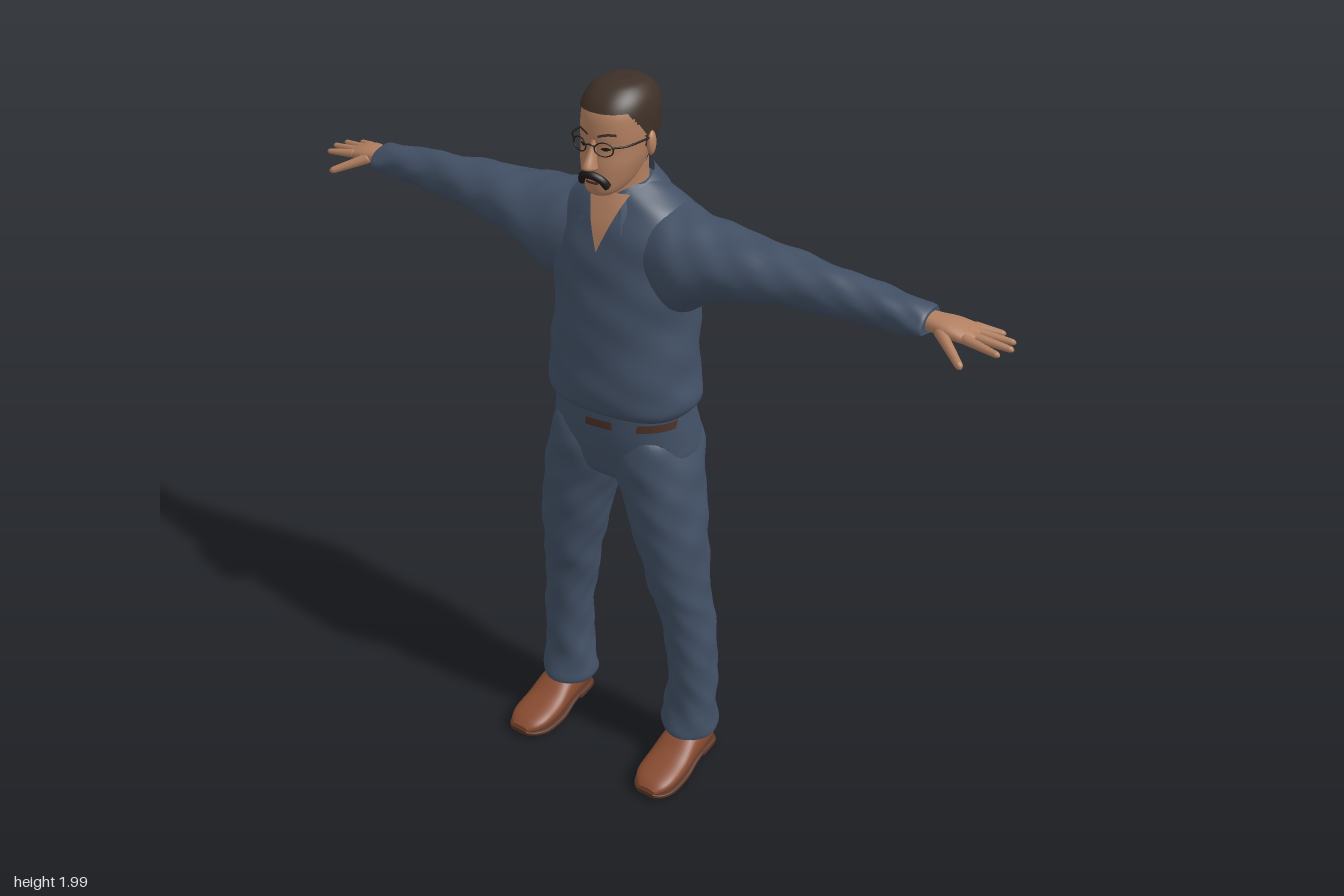
import * as THREE from 'three';

const mat = (name, color, side = THREE.FrontSide) => {
  const m = new THREE.MeshStandardMaterial({ color, side });
  m.name = name;
  return m;
};

// Smoothly subdivides a list of cross-section rows.
function resample(rows, per = 5) {
  const out = [], last = rows.length - 1;
  for (let i = 0; i < last; i++) {
    const [a, b, c, d] = [i - 1, i, i + 1, i + 2].map(k => rows[Math.min(last, Math.max(0, k))]);
    for (let k = 0; k < per; k++) {
      const t = k / per;
      out.push(b.map((_, q) => b[q] + 0.5 * t * (c[q] - a[q] +
        t * (2 * a[q] - 5 * b[q] + 4 * c[q] - d[q] + t * (3 * (b[q] - c[q]) + d[q] - a[q])))));
    }
  }
  out.push(rows[last]);
  return out;
}

const pw = (v, n) => Math.sign(v) * Math.abs(v) ** (2 / n);

// Skins superelliptic rings. Row = [position on axis, uMin, uMax, vMin, vMax].
function loft(rows, { axis = 'y', n = 2, seg = 36, fold = 0, grow = 0, keep = null } = {}) {
  const place = { y: (p, u, v) => [u, p, v], x: (p, u, v) => [p, u, v], z: (p, u, v) => [u, v, p] }[axis];
  const s = resample(rows), pos = [], idx = [];
  const tri = (a, b, c) => {
    if (keep) {
      const mid = [0, 1, 2].map(k => (pos[a * 3 + k] + pos[b * 3 + k] + pos[c * 3 + k]) / 3);
      if (!keep(...mid)) return;
    }
    if (axis === 'y') idx.push(a, b, c); else idx.push(a, c, b);
  };
  const ring = ([p, u0, u1, v0, v1]) => {
    for (let j = 0; j < seg; j++) {
      const t = j / seg * Math.PI * 2;
      const f = grow + fold * (Math.sin(3 * t + p * 34) + 0.6 * Math.sin(5 * t - p * 57)) * 0.6;
      pos.push(...place(p + grow, (u0 + u1) / 2 + ((u1 - u0) / 2 + f) * pw(Math.cos(t), n),
        (v0 + v1) / 2 + ((v1 - v0) / 2 + f) * pw(Math.sin(t), n)));
    }
  };
  s.forEach(ring);
  for (let i = 0; i < s.length - 1; i++) for (let j = 0; j < seg; j++) {
    const a = i * seg + j, b = i * seg + (j + 1) % seg;
    tri(a, a + seg, b + seg);
    tri(a, b + seg, b);
  }
  // end caps
  [s[0], s[s.length - 1]].forEach((r, e) => {
    const base = pos.length / 3;
    ring(r);
    pos.push(...place(r[0] + grow, (r[1] + r[2]) / 2, (r[3] + r[4]) / 2));
    for (let j = 0; j < seg; j++) {
      const a = base + j, b = base + (j + 1) % seg;
      if (e) tri(base + seg, b, a); else tri(base + seg, a, b);
    }
  });
  return build(pos, idx);
}

function build(pos, idx) {
  const g = new THREE.BufferGeometry();
  g.setAttribute('position', new THREE.Float32BufferAttribute(pos, 3));
  g.setIndex(idx);
  g.computeVertexNormals();
  return g;
}

// Grid surface from f(u, v), both 0..1.
function sheet(f, nu = 12, nv = 8) {
  const pos = [], idx = [], w = nu + 1;
  for (let j = 0; j <= nv; j++) for (let i = 0; i <= nu; i++) pos.push(...f(i / nu, j / nv));
  for (let j = 0; j < nv; j++) for (let i = 0; i < nu; i++) {
    const a = j * w + i;
    idx.push(a, a + 1, a + w + 1, a, a + w + 1, a + w);
  }
  return build(pos, idx);
}

// Thin patch draped over the front of an upright loft.
function patch(rows, n, outline, lift) {
  const s = resample(rows);
  return sheet((u, v) => {
    const [x, y] = outline(u, v);
    let i = 0;
    while (i < s.length - 2 && s[i + 1][0] < y) i++;
    const t = (y - s[i][0]) / (s[i + 1][0] - s[i][0]);
    const [, x0, x1, z0, z1] = s[i].map((q, k) => q + (s[i + 1][k] - q) * t);
    const d = Math.min(1, Math.abs((x - (x0 + x1) / 2) / ((x1 - x0) / 2)));
    return [x, y, (z0 + z1) / 2 + (z1 - z0) / 2 * (1 - d ** n) ** (1 / n) + lift];
  });
}

function mirrored(g) {
  const m = g.clone().scale(-1, 1, 1), ix = m.index.array;
  for (let i = 0; i < ix.length; i += 3) [ix[i], ix[i + 1]] = [ix[i + 1], ix[i]];
  return m;
}

const sym = rows => rows.map(([y, w, z0, z1]) => [y, -w, w, z0, z1]);
const V = (x, y, z) => new THREE.Vector3(x, y, z);
const tube = (pts, r, n = 20) => new THREE.TubeGeometry(new THREE.CatmullRomCurve3(pts.map(p => V(...p))), n, r, 8);

function finger(a, b, r) {
  const d = b.clone().sub(a), g = new THREE.CapsuleGeometry(r, d.length() - r, 5, 10);
  const p = g.attributes.position;
  for (let i = 0; i < p.count; i++) {
    const k = 0.85 - p.getY(i) / d.length() * 0.4;
    p.setX(i, p.getX(i) * k).setZ(i, p.getZ(i) * k);
  }
  g.applyQuaternion(new THREE.Quaternion().setFromUnitVectors(V(0, 1, 0), d.clone().normalize()));
  return g.translate(...a.clone().add(b).multiplyScalar(0.5).toArray());
}

export function createModel() {
  const root = new THREE.Group();
  const cloth = mat('navy cloth', 0x425065, THREE.DoubleSide), skin = mat('skin', 0xb27f60, THREE.DoubleSide);
  const hair = mat('dark brown hair', 0x3e3027, THREE.DoubleSide), black = mat('black', 0x1c1816, THREE.DoubleSide);
  const leather = mat('brown leather', 0x874a2f), sole = mat('dark sole', 0x5a3425);
  const beltMat = mat('belt brown', 0x4c3128, THREE.DoubleSide);
  const add = (name, g, m) => {
    const mesh = new THREE.Mesh(g, m);
    mesh.name = name;
    root.add(mesh);
  };
  const pair = (name, g, m) => {
    add(name + 'Left', g, m);
    add(name + 'Right', mirrored(g), m);
  };

  // Shirt, with a slight blouse over the waist
  const torso = sym([[1.13, .18, -.135, .108], [1.15, .2, -.158, .13], [1.18, .21, -.168, .137], [1.25, .2, -.17, .137],
    [1.4, .19, -.18, .125], [1.5, .2, -.187, .114], [1.58, .2, -.188, .1], [1.64, .185, -.172, .085],
    [1.68, .15, -.145, .068], [1.715, .1, -.115, .05], [1.735, .07, -.09, .035]]);
  add('shirt', loft(torso, { n: 2.2, seg: 56, fold: .004 }), cloth);
  add('neckOpening', patch(torso, 2.2, (u, v) => [(u * 2 - 1) * .055 * v, 1.58 + v * .14], .007), skin);
  // Sleeves
  pair('sleeve', loft([[.07, 1.52, 1.7, -.13, .05], [.14, 1.44, 1.69, -.16, .085], [.2, 1.435, 1.676, -.157, .093],
    [.26, 1.475, 1.667, -.145, .085], [.33, 1.5, 1.662, -.128, .072], [.45, 1.523, 1.655, -.107, .05],
    [.6, 1.533, 1.643, -.085, .024], [.72, 1.537, 1.628, -.093, .015], [.8, 1.546, 1.614, -.094, .012],
    [.808, 1.556, 1.604, -.084, .002]], { axis: 'x', fold: .004 }), cloth);
  // Collar: open sheet flaring from the neck, low at the front
  add('collar', sheet((u, v) => {
    const a = (u * 2 - 1) * 2.62, f = (1 - Math.cos(a)) / 2;
    const rx = .066 + .05 * v, rz = .076 + .03 * v;
    return [-Math.sin(a) * rx, 1.765 - .05 * f - v * (.045 + .045 * f ** 2), -.018 - Math.cos(a) * rz + v * .012 * f];
  }, 40, 6), cloth);

  // Trousers
  const hips = sym([[.915, .08, -.08, .05], [.94, .15, -.125, .085], [1, .2, -.162, .1], [1.05, .2, -.17, .108],
    [1.1, .194, -.157, .11], [1.17, .185, -.135, .108]]);
  add('trouserHips', loft(hips, { n: 2.4, seg: 48 }), cloth);
  pair('trouserLeg', loft([[.1, .135, .288, -.113, .036], [.115, .128, .291, -.116, .036], [.15, .133, .288, -.112, .028],
    [.2, .138, .283, -.11, .021], [.28, .147, .28, -.113, .024], [.4, .14, .274, -.118, .032], [.52, .115, .262, -.113, .045],
    [.6, .1, .252, -.114, .068], [.75, .06, .246, -.119, .088], [.85, .028, .236, -.126, .095],
    [.93, .002, .223, -.142, .1], [1, 0, .209, -.16, .104], [1.07, .02, .185, -.145, .09], [1.11, .05, .15, -.1, .05]],
  { fold: .004, n: 2.2 }), cloth);
  // Visible lengths of belt
  [[-.03, .05, 1.095], [.115, .187, 1.107]].forEach(([x0, x1, y], i) =>
    add('belt' + (i + 1), patch(hips, 2.4, (u, v) => [x0 + (x1 - x0) * u, y + v * .022 + u * .006], .006), beltMat));

  // Shoes
  pair('shoe', loft([[-.114, .195, .245, .03, .1], [-.1, .178, .26, .018, .115], [-.04, .167, .27, .016, .125],
    [.02, .161, .275, .016, .112], [.08, .157, .279, .012, .078], [.14, .16, .278, .012, .062],
    [.175, .174, .267, .014, .05], [.195, .195, .25, .018, .036]], { axis: 'z', n: 2.4 }), leather);
  pair('shoeSole', loft([[-.116, .19, .248, 0, .022], [-.1, .173, .263, 0, .022], [-.035, .167, .268, 0, .024],
    [-.03, .168, .268, .012, .026], [.01, .163, .272, .008, .024], [.07, .153, .281, 0, .018], [.14, .155, .282, .002, .018],
    [.18, .172, .27, .008, .022], [.2, .195, .25, .013, .026]], { axis: 'z', n: 5 }), sole);

  // Hands
  pair('palm', loft([[.78, 1.558, 1.603, -.072, -.015], [.82, 1.56, 1.601, -.077, -.012], [.86, 1.557, 1.597, -.092, -.008],
    [.9, 1.554, 1.586, -.1, -.013], [.918, 1.56, 1.578, -.09, -.02]], { axis: 'x', n: 2.3, seg: 24 }), skin);
  [[.89, -.09, .955, -.113], [.9, -.068, .99, -.088], [.9, -.046, 1, -.055], [.895, -.024, .985, -.015]]
    .forEach(([x0, z0, x1, z1], i) =>
      pair('finger' + (i + 1), finger(V(x0, 1.572, z0), V(x1 - .003, 1.562, z1), .0115), skin));
  pair('thumb', finger(V(.84, 1.575, -.02), V(.922, 1.54, .042), .014), skin);

  // Head and neck
  add('neck', loft(sym([[1.63, .065, -.1, .06], [1.7, .058, -.085, .052], [1.75, .056, -.078, .052], [1.8, .058, -.075, .06]])), skin);
  const head = sym([[1.726, .018, .065, .098], [1.734, .036, .035, .112], [1.755, .054, -.02, .118], [1.8, .07, -.06, .118],
    [1.84, .077, -.088, .112], [1.88, .08, -.1, .112], [1.92, .079, -.1, .106], [1.95, .07, -.088, .088],
    [1.973, .05, -.062, .058], [1.983, .022, -.028, .026]]);
  add('head', loft(head, { n: 2.2, seg: 48 }), skin);
  const hairline = z => z > .07 ? 1.93 : z > .02 ? 1.87 + (z - .02) * 1.2 : z > -.015 ? 1.84 : 1.775;
  add('hair', loft(head, { n: 2.2, seg: 96, grow: .005, keep: (x, y, z) => y > hairline(z) && (z < .02 || y > 1.86) }), hair);
  pair('ear', new THREE.SphereGeometry(1, 16, 12).scale(.011, .03, .018).rotateY(.3).translate(.084, 1.843, -.002), skin);
  add('nose', loft(sym([[1.797, .01, .1, .128], [1.803, .017, .1, .146], [1.813, .015, .1, .148], [1.84, .009, .1, .13],
    [1.868, .007, .1, .114]]), { seg: 20 }), skin);
  add('moustache', tube([[-.036, 1.758, .106], [-.026, 1.777, .118], [0, 1.787, .127], [.026, 1.777, .118], [.036, 1.758, .106]], .0105), black);
  add('mouth', patch(head, 2.2, (u, v) => [(u - .5) * .034, 1.762 + v * .006], .002), beltMat);
  pair('eye', patch(head, 2.2, (u, v) => [.02 + u * .024, 1.85 + (v - .5) * .009 * Math.sin(Math.PI * u)], .003), black);
  pair('eyebrow', patch(head, 2.2, (u, v) => [.014 + u * .038, 1.876 + .006 * Math.sin(u * 2.4) + v * .006], .003), hair);

  // Spectacles
  pair('lensRim', new THREE.TorusGeometry(.023, .0018, 6, 28).scale(1, .72, 1).rotateY(.3).translate(.034, 1.853, .118), black);
  add('spectacleBridge', tube([[-.012, 1.858, .124], [0, 1.862, .128], [.012, 1.858, .124]], .002), black);
  pair('spectacleArm', tube([[.055, 1.86, .112], [.075, 1.861, .09], [.084, 1.86, .04], [.086, 1.858, -.005]], .0025), black);
  return root;
}
